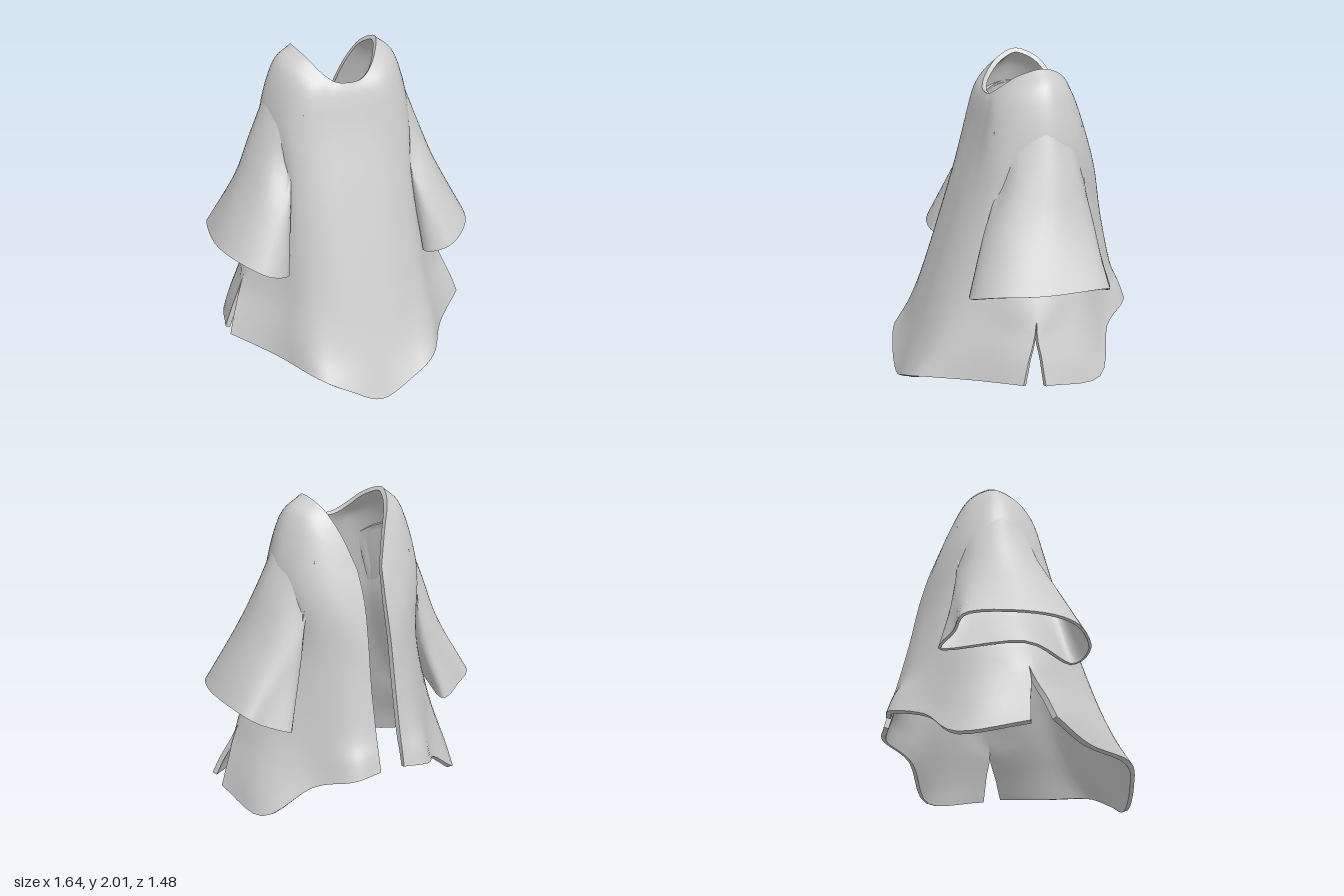
import * as THREE from 'three';
import { toCreasedNormals } from 'three/addons/utils/BufferGeometryUtils.js';

const cloth = new THREE.MeshStandardMaterial({ color: 0xcccccc, side: THREE.DoubleSide });
cloth.name = 'grey cloth';

const STEPS = 5; // samples between neighbouring control points
const V = (p) => new THREE.Vector3(...p);
const flip = (p) => new THREE.Vector3(-p.x, p.y, p.z);

// Smooth curve through the points, STEPS samples per span
function spline(points, closed = false) {
  const curve = new THREE.CatmullRomCurve3(points, closed, 'catmullrom', 0.5);
  return curve.getPoints((closed ? points.length : points.length - 1) * STEPS);
}

// Turns rings of control points (top to bottom) into many rows
function smoothRows(rings) {
  const columns = rings[0].map((_, i) => spline(rings.map((r) => V(r[i]))));
  return columns[0].map((_, r) => columns.map((c) => c[r]));
}

// Cloth of even thickness from rows of points; gaps = columns after which the cloth is cut
function clothShell(rows, thickness, { closed = false, gaps = [] } = {}) {
  const nr = rows.length, nc = rows[0].length, n = nr * nc;
  const index = [];
  const quad = (a, b, c, d) => index.push(a, b, d, b, c, d);
  const id = (r, c) => r * nc + c;
  for (let r = 0; r < nr - 1; r++)
    for (let c = 0; c < nc - 1; c++)
      if (!gaps.includes(c)) quad(id(r, c), id(r + 1, c), id(r + 1, c + 1), id(r, c + 1));

  const points = rows.flat();
  const outer = new THREE.BufferGeometry().setFromPoints(points);
  outer.setIndex(index.slice());
  outer.computeVertexNormals();
  const normal = points.map((_, i) => new THREE.Vector3().fromBufferAttribute(outer.attributes.normal, i));
  // shared normals where two columns meet
  const seams = gaps.map((c) => [c, c + 1]);
  if (closed) seams.push([nc - 1, 0]);
  for (const [a, b] of seams)
    for (let r = 0; r < nr; r++) {
      const p = id(r, a), q = id(r, b);
      if (rows[r][a].distanceTo(rows[r][b]) > 1e-4) continue;
      normal[p].add(normal[q]).normalize();
      normal[q].copy(normal[p]);
    }
  const inner = points.map((p, i) => p.clone().addScaledVector(normal[i], -thickness));

  // lining, then the rims
  for (let i = 0, m = index.length; i < m; i += 3) index.push(index[i] + n, index[i + 2] + n, index[i + 1] + n);
  for (let c = 0; c < nc - 1; c++) {
    if (gaps.includes(c)) continue;
    quad(id(0, c), id(0, c + 1), id(0, c + 1) + n, id(0, c) + n);
    quad(id(nr - 1, c), id(nr - 1, c) + n, id(nr - 1, c + 1) + n, id(nr - 1, c + 1));
  }
  const starts = closed ? [] : [0, ...gaps.map((g) => g + 1)];
  const ends = closed ? [] : [nc - 1, ...gaps];
  for (let r = 0; r < nr - 1; r++) {
    for (const c of starts) quad(id(r, c), id(r, c) + n, id(r + 1, c) + n, id(r + 1, c));
    for (const c of ends) quad(id(r, c), id(r + 1, c), id(r + 1, c) + n, id(r, c) + n);
  }
  const geo = new THREE.BufferGeometry().setFromPoints([...points, ...inner]);
  geo.setIndex(index);
  return toCreasedNormals(geo, Math.PI / 3);
}

// Left half of the front: centre to side slit, neck to hem
const FRONT = [
  [[0, 1.82, 0.125], [0.08, 1.83, 0.115], [0.15, 1.88, 0.075], [0.215, 1.955, -0.01], [0.262, 2, -0.13]],
  [[0, 1.74, 0.155], [0.12, 1.75, 0.15], [0.24, 1.79, 0.125], [0.335, 1.85, 0.02], [0.385, 1.88, -0.13]],
  [[0, 1.5, 0.22], [0.15, 1.5, 0.215], [0.29, 1.5, 0.19], [0.395, 1.52, 0.1], [0.47, 1.54, -0.12]],
  [[0, 1.15, 0.335], [0.18, 1.15, 0.325], [0.33, 1.15, 0.265], [0.405, 1.15, 0.16], [0.42, 1.15, -0.1]],
  [[0, 0.65, 0.5], [0.2, 0.65, 0.485], [0.37, 0.65, 0.4], [0.49, 0.64, 0.23], [0.65, 0.6, 0]],
  [[0, 0.3, 0.62], [0.21, 0.32, 0.6], [0.39, 0.34, 0.53], [0.54, 0.36, 0.31], [0.74, 0.38, 0.08]],
  [[0, 0, 0.735], [0.2, 0.09, 0.715], [0.38, 0.175, 0.64], [0.55, 0.2, 0.36], [0.78, 0.26, 0.12]],
];
// Left half of the back: side slit to the open edge
const BACK = [
  [[0.262, 2, -0.13], [0.24, 1.975, -0.23], [0.2, 1.91, -0.31], [0.14, 1.78, -0.38], [0.08, 1.6, -0.45]],
  [[0.385, 1.88, -0.13], [0.35, 1.86, -0.25], [0.29, 1.79, -0.34], [0.2, 1.65, -0.42], [0.07, 1.42, -0.515]],
  [[0.47, 1.54, -0.12], [0.43, 1.53, -0.29], [0.35, 1.48, -0.4], [0.22, 1.38, -0.495], [0.075, 1.2, -0.57]],
  [[0.42, 1.15, -0.1], [0.41, 1.15, -0.3], [0.34, 1.12, -0.44], [0.21, 1.05, -0.55], [0.08, 0.95, -0.615]],
  [[0.65, 0.6, 0], [0.57, 0.65, -0.27], [0.41, 0.67, -0.46], [0.24, 0.68, -0.62], [0.08, 0.68, -0.675]],
  [[0.73, 0.38, -0.01], [0.67, 0.33, -0.33], [0.42, 0.46, -0.51], [0.25, 0.53, -0.69], [0.08, 0.55, -0.71]],
  [[0.78, 0.23, -0.02], [0.69, 0.175, -0.4], [0.43, 0.36, -0.545], [0.26, 0.43, -0.725], [0.08, 0.455, -0.735]],
];
// Left sleeve: loops from within the shoulder cloth to the cuff
const SLEEVE = [
  [[0.28, 1.66, 0.125], [0.285, 1.68, 0.125], [0.345, 1.74, 0.02], [0.41, 1.77, -0.12], [0.36, 1.74, -0.26], [0.315, 1.68, -0.355], [0.305, 1.66, -0.355], [0.395, 1.75, -0.12]],
  [[0.36, 1.36, 0.14], [0.38, 1.38, 0.13], [0.475, 1.44, 0.06], [0.535, 1.46, -0.12], [0.485, 1.44, -0.28], [0.385, 1.4, -0.355], [0.375, 1.36, -0.355], [0.435, 1.38, -0.1]],
  [[0.395, 1.1, 0.2], [0.46, 1.1, 0.255], [0.58, 1.16, 0.16], [0.64, 1.2, -0.08], [0.6, 1.16, -0.3], [0.5, 1.1, -0.4], [0.41, 1.08, -0.37], [0.45, 1.1, -0.08]],
  [[0.44, 0.72, 0.29], [0.58, 0.77, 0.38], [0.74, 0.84, 0.26], [0.82, 0.85, 0], [0.79, 0.83, -0.36], [0.68, 0.76, -0.43], [0.52, 0.71, -0.47], [0.62, 0.75, -0.02]],
];

function buildBody() {
  const front = smoothRows(FRONT), back = smoothRows(BACK);
  const slitRow = 4 * STEPS;
  const mirror = (list) => list.map(flip).reverse();
  const rows = front.map((f, r) => {
    const b = back[r];
    if (r > slitRow) {
      const panel = spline([...mirror(f.slice(1)), ...f]);
      const tail = spline(b);
      return [...mirror(tail), ...panel, ...tail];
    }
    // above the slits front and back run on as one curve
    const side = f[4].clone().lerp(b[0], 0.5);
    const half = [...f.slice(0, 4), side, ...b.slice(1)];
    const all = spline([...mirror(half.slice(1)), ...half]);
    const c1 = 4 * STEPS, c2 = 12 * STEPS;
    return [...all.slice(0, c1 + 1), ...all.slice(c1, c2 + 1), ...all.slice(c2)];
  });
  return clothShell(rows, 0.03, { gaps: [4 * STEPS, 12 * STEPS + 1] });
}

function buildSleeve(sign) {
  let rows = smoothRows(SLEEVE).map((loop) => spline(loop, true));
  if (sign < 0) rows = rows.map((row) => row.map(flip).reverse());
  return clothShell(rows, 0.016, { closed: true });
}

export function createModel() {
  const group = new THREE.Group();
  group.name = 'openBackGown';
  const add = (name, geometry) => {
    const mesh = new THREE.Mesh(geometry, cloth);
    mesh.name = name;
    group.add(mesh);
  };
  add('gownBody', buildBody());
  add('leftSleeve', buildSleeve(1));
  add('rightSleeve', buildSleeve(-1));
  return group;
}
